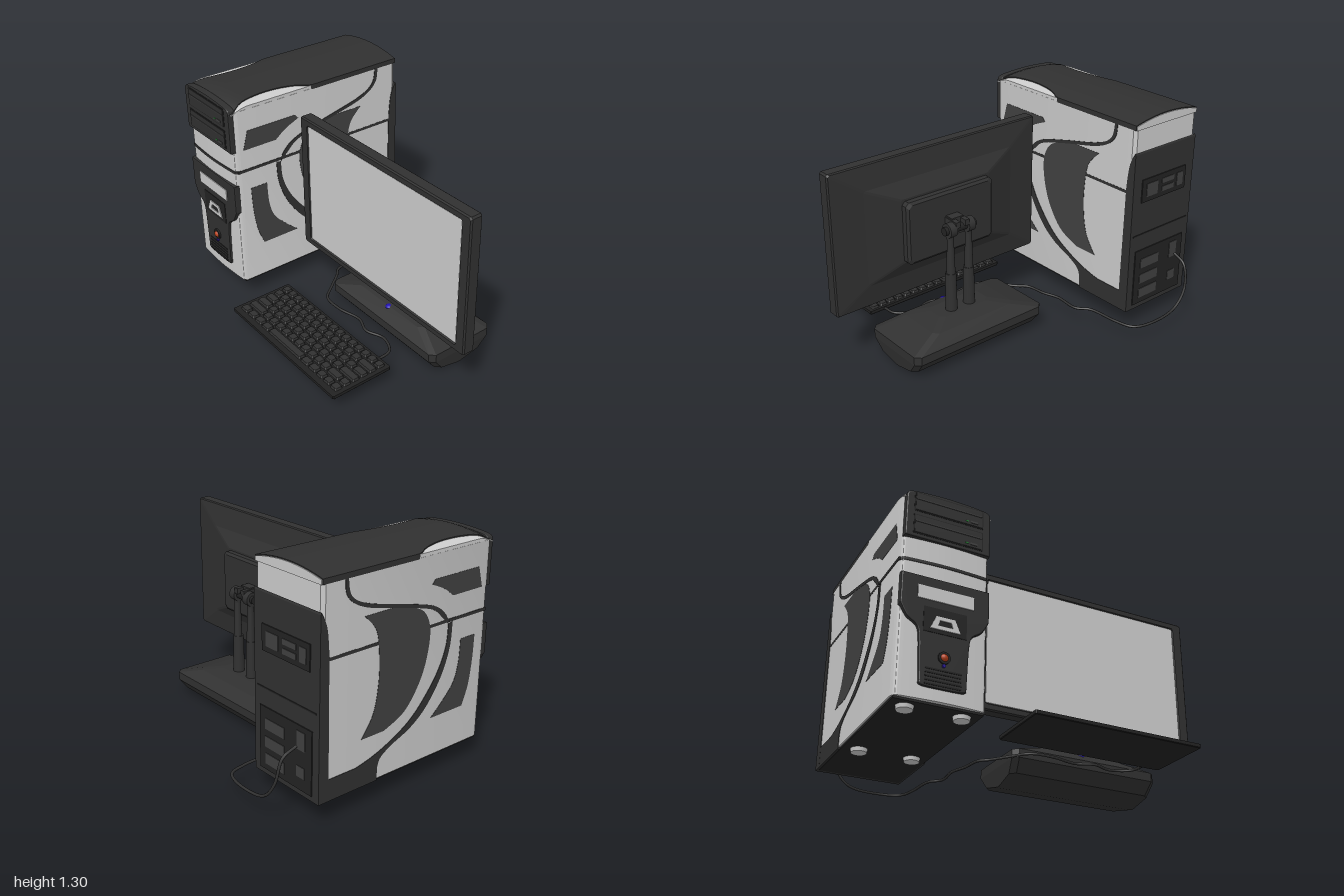
import * as THREE from 'three';
import { toCreasedNormals } from 'three/addons/utils/BufferGeometryUtils.js';

const GREY = 0xcccccc, DARK = 0x303030, BLACK = 0x222222, INSET = 0x404040;
const mats = {};
function mat(color, flat = false) {
  const key = color + (flat ? 'f' : '');
  return mats[key] ??= new THREE.MeshStandardMaterial({ color, flatShading: flat, side: THREE.DoubleSide });
}
function add(parent, name, geo, color, x = 0, y = 0, z = 0, flat = false) {
  const m = new THREE.Mesh(geo, mat(color, flat));
  m.name = name;
  m.position.set(x, y, z);
  parent.add(m);
  return m;
}
const box = (p, name, color, w, h, d, x, y, z) => add(p, name, new THREE.BoxGeometry(w, h, d), color, x, y, z);
const cyl = (r1, r2, h, n = 20) => new THREE.CylinderGeometry(r1, r2, h, n);

// Stack of chamfered rectangles along y; each ring is [y, halfX, halfZ]
function loft(rings, chamfer) {
  const pos = [], idx = [];
  for (const [y, a, b] of rings) {
    const c = Math.min(chamfer, a / 2, b / 2);
    for (const [x, z] of [[a, c - b], [a, b - c], [a - c, b], [c - a, b], [-a, b - c], [-a, c - b], [c - a, -b], [a - c, -b]])
      pos.push(x, y, z);
  }
  const last = (rings.length - 1) * 8;
  for (let i = 0; i < last; i += 8)
    for (let j = 0; j < 8; j++) {
      const a = i + j, b = i + (j + 1) % 8;
      idx.push(a, a + 8, b, b, a + 8, b + 8);
    }
  for (let k = 1; k < 7; k++) idx.push(0, k, k + 1, last, last + k + 1, last + k);
  const g = new THREE.BufferGeometry();
  g.setAttribute('position', new THREE.Float32BufferAttribute(pos, 3));
  g.setIndex(idx);
  const flat = g.toNonIndexed();
  flat.computeVertexNormals();
  return flat;
}

// Outline made of runs: each run of points is a smooth curve, runs join with straight lines
function outline(...runs) {
  const s = new THREE.Shape();
  runs.forEach((run, i) => {
    const p = run.map(([x, y]) => new THREE.Vector2(x, y));
    if (i) s.lineTo(p[0].x, p[0].y); else s.moveTo(p[0].x, p[0].y);
    if (p.length > 1) s.splineThru(p.slice(1));
  });
  return s;
}
const extrude = (shape, depth, bevel = 0) => new THREE.ExtrudeGeometry(shape, {
  depth, curveSegments: 14, bevelEnabled: bevel > 0, bevelSize: bevel, bevelThickness: bevel, bevelSegments: 2, bevelOffset: -bevel });

// Gently arched lid whose half width varies along z, with a skirt all round
function archedLid(halfWidth, lift, zBack, zFront) {
  const nx = 16, nz = 36, g = new THREE.PlaneGeometry(1, 1, nx, nz), p = g.attributes.position;
  for (let j = 0; j <= nz; j++)
    for (let i = 0; i <= nx; i++) {
      const skirt = i === 0 || i === nx || j === 0 || j === nz;
      const u = THREE.MathUtils.clamp((i - 1) / (nx - 2), 0, 1) * 2 - 1;
      const z = zBack + (zFront - zBack) * THREE.MathUtils.clamp((j - 1) / (nz - 2), 0, 1);
      const x = u * halfWidth(z);
      const drop = 0.03 * Math.max(0, (z - 0.46) / 0.1) ** 2;
      p.setXYZ(j * (nx + 1) + i, x, skirt ? 1.24 : 1.263 + 0.03 * (1 - (x / 0.245) ** 2) + lift - drop, z);
    }
  return toCreasedNormals(g, 0.6);
}

function createTower() {
  const t = new THREE.Group();
  t.name = 'tower';
  t.position.x = -0.755;

  // Case with a bowed front, drawn in plan
  const plan = outline([[-0.23, 0.59]], [[-0.244, 0.57]], [[-0.244, -0.53], [-0.232, -0.555], [-0.2, -0.565], [0, -0.575], [0.2, -0.565], [0.232, -0.555], [0.244, -0.53]], [[0.244, 0.57]], [[0.23, 0.59]]);
  const body = extrude(plan, 1.115);
  body.rotateX(-Math.PI / 2);
  add(t, 'case', toCreasedNormals(body, 0.5), GREY, 0, 0.13, 0);
  box(t, 'underside', BLACK, 0.47, 0.015, 1.12, 0, 0.125, -0.01);

  // Lid: light shoulders under a dark, waisted cover
  add(t, 'shoulders', archedLid(() => 0.243, 0, -0.595, 0.57), GREY);
  const waist = z => 0.246 - (z > 0.05 && z < 0.55 ? 0.066 * Math.sin(Math.PI * (z - 0.05) / 0.5) ** 0.6 : 0);
  add(t, 'topCover', archedLid(waist, 0.006, -0.59, 0.565), DARK);

  // Side inlays in (z, y), each running through the case so both sides match
  const inlay = (name, color, half, ...runs) => {
    const g = extrude(outline(...runs), half * 2);
    g.rotateY(-Math.PI / 2);
    add(t, name, g, color, half);
  };
  inlay('upperFrontInlay', INSET, 0.2455, [[0.508, 1.0], [0.476, 1.115]], [[0.15, 1.115]], [[0.13, 1.09], [0.22, 1.05], [0.29, 1.0]]);
  inlay('lowerFrontInlay', INSET, 0.2455, [[0.476, 0.745]], [[0.367, 0.745], [0.36, 0.61], [0.33, 0.51], [0.26, 0.43], [0.17, 0.35]], [[0.41, 0.35], [0.45, 0.46], [0.47, 0.6], [0.476, 0.745]]);
  inlay('rearInlay', INSET, 0.2455, [[-0.325, 1.03], [-0.245, 0.94], [-0.22, 0.8], [-0.22, 0.65], [-0.25, 0.5], [-0.325, 0.385]],
    [[-0.17, 0.385], [-0.03, 0.45], [0.07, 0.58], [0.12, 0.72], [0.13, 0.86], [0.08, 0.96], [-0.03, 1.01], [-0.14, 1.03]]);
  inlay('lowerSwirl', DARK, 0.2465, [[-0.57, 0.12]], [[-0.57, 0.24]], [[-0.36, 0.24], [-0.25, 0.265], [-0.13, 0.31], [0, 0.38], [0.1, 0.47], [0.2, 0.6], [0.255, 0.73], [0.265, 0.85]],
    [[0.295, 0.86], [0.285, 0.72], [0.23, 0.57], [0.13, 0.43], [0.02, 0.345], [-0.12, 0.285], [-0.19, 0.24], [-0.21, 0.19]], [[-0.21, 0.12]]);
  inlay('upperSwirl', DARK, 0.2465, [[0.265, 0.85], [0.24, 0.91], [0.15, 0.975], [-0.05, 1.03], [-0.3, 1.09], [-0.41, 1.15], [-0.435, 1.25]],
    [[-0.455, 1.25], [-0.435, 1.15], [-0.32, 1.075], [-0.05, 1.01], [0.12, 0.965], [0.2, 0.92], [0.25, 0.875]], [[0.295, 0.86]]);
  inlay('beltLine', DARK, 0.2465, [[0.27, 0.861]], [[0.55, 0.861]], [[0.55, 0.878]], [[0.27, 0.878]]);
  inlay('rearPanel', DARK, 0.247, [[-0.535, 0.12]], [[-0.545, 0.9], [-0.56, 1.03], [-0.595, 1.11]], [[-0.6, 1.1]], [[-0.6, 0.12]]);
  const band = extrude(plan, 0.017);
  band.rotateX(-Math.PI / 2);
  band.scale(1.004, 1, 1.006);
  add(t, 'frontBeltLine', band, DARK, 0, 0.861, 0);

  // Drive bay panel
  add(t, 'driveBayPanel', extrude(outline([[-0.235, 0.995]], [[-0.235, 1.24], [-0.2, 1.268], [0, 1.28], [0.2, 1.268], [0.235, 1.24]], [[0.235, 0.995]]), 0.03, 0.008), DARK, 0, 0, 0.547);
  for (const y of [1.205, 1.072]) {
    box(t, 'driveFrame', BLACK, 0.385, 0.112, 0.01, 0, y, 0.582);
    box(t, 'driveFace', DARK, 0.372, 0.1, 0.01, 0, y, 0.585);
    box(t, 'driveTray', INSET, 0.372, 0.006, 0.006, 0, y + 0.015, 0.59);
    box(t, 'driveButton', INSET, 0.04, 0.012, 0.006, 0.14, y - 0.032, 0.59);
    box(t, 'driveLight', 0x2f9a3f, 0.014, 0.006, 0.006, 0.1, y - 0.032, 0.59);
  }

  // Control panel
  add(t, 'controlPanel', extrude(outline([[-0.238, 0.785]], [[-0.238, 0.61], [-0.2, 0.545], [-0.145, 0.5], [-0.132, 0.42]], [[-0.125, 0.22], [-0.1, 0.195], [0.1, 0.195], [0.125, 0.22]],
    [[0.132, 0.42], [0.145, 0.5], [0.2, 0.545], [0.238, 0.61]], [[0.238, 0.785]]), 0.03, 0.007), DARK, 0, 0, 0.547);
  box(t, 'cardSlotCover', GREY, 0.3, 0.072, 0.012, 0, 0.692, 0.583);
  box(t, 'badgePlate', BLACK, 0.23, 0.135, 0.008, 0, 0.55, 0.583);
  const badge = outline([[-0.08, -0.035]], [[0.08, -0.035]], [[0.05, 0.035]], [[-0.05, 0.035]]);
  badge.holes.push(outline([[-0.04, -0.015]], [[-0.03, 0.015]], [[0.03, 0.015]], [[0.04, -0.015]]));
  add(t, 'badgeFrame', extrude(badge, 0.006), GREY, 0, 0.538, 0.586);
  const knob = (name, color, r, y) => add(t, name, cyl(r, r, 0.014), color, 0, y, 0.587).rotation.x = Math.PI / 2;
  knob('powerButtonRing', BLACK, 0.032, 0.357);
  add(t, 'powerButton', new THREE.SphereGeometry(0.022, 16, 10), 0xb8401c, 0, 0.357, 0.585);
  knob('statusLight', 0x2a1a9a, 0.009, 0.315);
  for (let i = 0; i < 5; i++) box(t, 'vent', BLACK, 0.19, 0.009, 0.008, 0, 0.21 + i * 0.02, 0.583);

  // Rear fittings
  box(t, 'powerSupplyPlate', BLACK, 0.36, 0.14, 0.012, 0, 0.87, -0.6);
  for (const [x, y, w, h] of [[0.1, 0.87, 0.09, 0.08], [-0.03, 0.895, 0.1, 0.03], [-0.03, 0.845, 0.1, 0.03], [-0.13, 0.87, 0.05, 0.08],
    [0.08, 0.41, 0.15, 0.06], [0.08, 0.31, 0.15, 0.06], [0.08, 0.215, 0.15, 0.06], [-0.12, 0.42, 0.06, 0.1], [-0.12, 0.25, 0.06, 0.06]])
    box(t, 'rearPort', INSET, w, h, 0.01, x, y, -0.604);
  box(t, 'portPlate', BLACK, 0.4, 0.35, 0.012, 0, 0.325, -0.6);
  box(t, 'rearSeam', BLACK, 0.45, 0.008, 0.006, 0, 0.6, -0.6);

  for (const x of [-0.148, 0.148]) for (const z of [-0.16, 0.48])
    add(t, 'foot', cyl(0.047, 0.042, 0.03), GREY, x, 0.111, z);
  return t;
}

function createMonitor() {
  const m = new THREE.Group();
  m.name = 'monitor';
  m.position.x = 0.2925;
  // Housing with a tapering back and recessed screen
  const housing = loft([[0.045, 0.3, 0.19], [0.09, 0.5, 0.28], [0.112, 0.69, 0.412], [0.12, 0.6975, 0.4175], [0.18, 0.6975, 0.4175], [0.188, 0.69, 0.41], [0.188, 0.637, 0.381], [0.178, 0.631, 0.375]], 0.01);
  housing.rotateX(Math.PI / 2);
  add(m, 'housing', housing, DARK, 0, 0.7425, 0, true);
  box(m, 'screen', GREY, 1.26, 0.747, 0.008, 0, 0.7445, 0.179);
  const plate = loft([[0, 0.28, 0.17], [0.012, 0.295, 0.185], [0.06, 0.295, 0.185]], 0.02);
  plate.rotateX(Math.PI / 2);
  add(m, 'mountPlate', plate, DARK, 0, 0.735, 0, true);
  for (const y of [0.57, 0.49]) box(m, 'sideButton', BLACK, 0.016, 0.03, 0.03, -0.7, y, 0.15);

  // Stand: faceted foot, two telescopic posts, hinge
  add(m, 'standBase', loft([[0, 0.435, 0.02], [0.03, 0.44, 0.165], [0.1, 0.451, 0.22], [0.15, 0.451, 0.22], [0.205, 0.28, 0.155], [0.23, 0.17, 0.07]], 0.03), DARK, 0, 0, -0.047, true);
  add(m, 'standButton', new THREE.SphereGeometry(0.024, 16, 10), 0x2010b0, 0, 0.195, 0.1).scale.y = 0.6;
  for (const x of [-0.063, 0.063]) {
    add(m, 'lowerPost', cyl(0.031, 0.035, 0.27), DARK, x, 0.325, -0.063);
    add(m, 'upperPost', cyl(0.018, 0.025, 0.25), DARK, x, 0.58, -0.066);
    add(m, 'postHead', cyl(0.024, 0.02, 0.06), DARK, x, 0.7, -0.066);
    add(m, 'hingeKnuckle', cyl(0.042, 0.042, 0.045), DARK, x, 0.725, -0.066).rotation.z = Math.PI / 2;
    box(m, 'hingeArm', DARK, 0.03, 0.035, 0.1, x * 0.5, 0.755, -0.05);
  }
  add(m, 'hingePin', cyl(0.024, 0.024, 0.21), BLACK, 0, 0.725, -0.066).rotation.z = Math.PI / 2;
  box(m, 'hingeBracket', DARK, 0.08, 0.1, 0.06, 0, 0.73, -0.025);
  return m;
}

function createKeyboard() {
  const k = new THREE.Group();
  k.name = 'keyboard';
  add(k, 'keyboardBody', loft([[0.09, 0.482, 0.19], [0.094, 0.485, 0.193], [0.112, 0.485, 0.193]], 0.006), BLACK, 0.14, 0, 0.558, true);
  const ones = n => Array(n).fill(1);
  const rows = [ones(16), [...ones(13), 2], [1.5, ...ones(12), 1.5], [1.8, ...ones(11), 2.2], [2.3, ...ones(10), 1.7, 1], [1.15, 1.15, 1.15, 1.15, 5, 1.15, 1.15, 1, 1, 1]];
  rows.forEach((row, r) => {
    const unit = 0.93 / row.reduce((a, b) => a + b);
    let x = -0.325;
    for (const n of row) {
      const w = n * unit / 2;
      add(k, 'key', loft([[0.11, w - 0.004, 0.025], [0.124, w - 0.009, 0.019]], 0.006), DARK, x + w, 0, 0.405 + r * 0.0575, true);
      x += 2 * w;
    }
  });
  return k;
}

function createCable() {
  const path = [[0.525, 0.1, 0.38], [0.51, 0.1, 0.28], [0.4, 0.098, 0.23], [0.285, 0.098, 0.265], [0.18, 0.098, 0.23], [0.03, 0.098, 0.26], [-0.1, 0.098, 0.25], [-0.18, 0.098, 0.16], [-0.25, 0.098, 0.07],
    [-0.3, 0.098, 0.02], [-0.32, 0.098, -0.1], [-0.35, 0.098, -0.2], [-0.345, 0.098, -0.35], [-0.4, 0.098, -0.42], [-0.42, 0.098, -0.61], [-0.45, 0.098, -0.71], [-0.55, 0.098, -0.75],
    [-0.76, 0.12, -0.75], [-0.845, 0.22, -0.745], [-0.865, 0.36, -0.71], [-0.87, 0.4, -0.63]];
  const curve = new THREE.CatmullRomCurve3(path.map(p => new THREE.Vector3(...p)));
  return new THREE.TubeGeometry(curve, 200, 0.008, 8);
}

export function createModel() {
  const g = new THREE.Group();
  g.name = 'desktopComputer';
  g.add(createTower(), createMonitor(), createKeyboard());
  add(g, 'cable', createCable(), DARK);
  return g;
}
